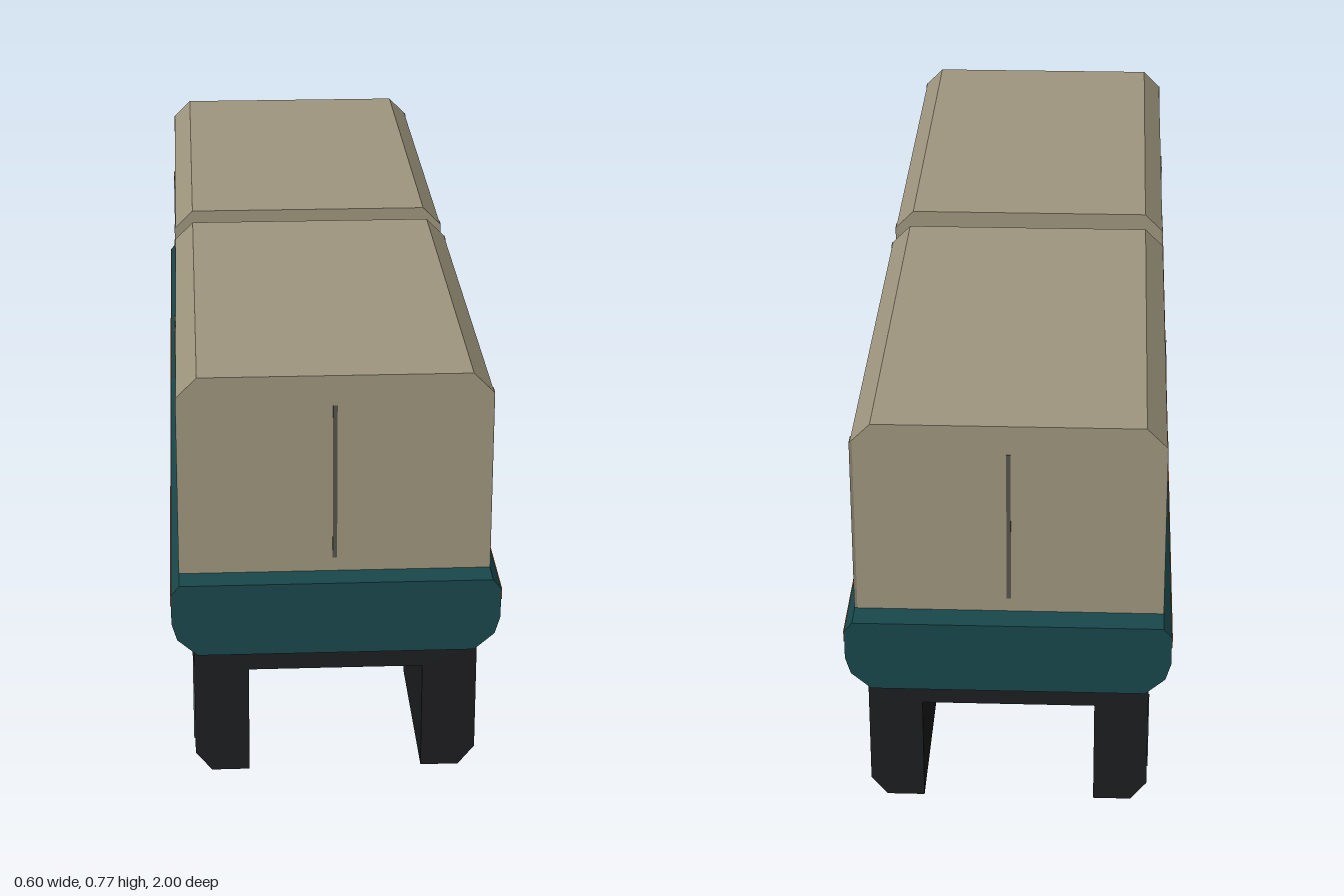
import * as THREE from 'three';

const mat = (color) => new THREE.MeshStandardMaterial({ color, flatShading: true });
const M = {
  shell: mat(0xa0977f), post: mat(0x857e6b), seam: mat(0x55544c), rod: mat(0x8d887a),
  teal: mat(0x19484c), window: mat(0x1c555b), orange: mat(0xb0501e),
  black: mat(0x1d1e20), dark: mat(0x121315), grey: mat(0x2b2d30), trim: mat(0x4a4d50), light: mat(0x6fb3b8),
};

// Box given by its min/max ranges
function box(parent, name, material, [x0, x1], [y0, y1], [z0, z1]) {
  const m = new THREE.Mesh(new THREE.BoxGeometry(x1 - x0, y1 - y0, z1 - z0), material);
  m.position.set((x0 + x1) / 2, (y0 + y1) / 2, (z0 + z1) / 2);
  m.name = name;
  parent.add(m);
  return m;
}

// Box repeated on both sides of the body
function sideBoxes(parent, name, material, [x0, x1], y, z) {
  box(parent, name + 'Left', material, [x0, x1], y, z);
  box(parent, name + 'Right', material, [-x1, -x0], y, z);
}

// Cross-section in x,y swept from z0 to z1
function sweep(parent, name, material, points, z0, z1) {
  const shape = new THREE.Shape(points.map(([x, y]) => new THREE.Vector2(x, y)));
  const m = new THREE.Mesh(new THREE.ExtrudeGeometry(shape, { depth: z1 - z0, bevelEnabled: false }), material);
  m.position.z = z0;
  m.name = name;
  parent.add(m);
}

// Mirror a right-hand half profile (bottom to top) into a closed outline
const mirrored = (half) => [...half, ...half.map(([x, y]) => [-x, y]).reverse()];

function makeContainer(name, zc) {
  const g = new THREE.Group();
  g.name = name;
  const h = 0.453;
  sweep(g, 'containerShell', M.shell,
    mirrored([[0.284, 0.388], [0.284, 0.733], [0.247, 0.77]]), zc - h, zc + h);
  for (const s of [-1, 1]) {
    // corner posts and end door seams
    const a = zc + s * h, b = zc + s * (h - 0.024);
    sideBoxes(g, 'cornerPost', M.post, [0.28, 0.2855], [0.388, 0.733], [Math.min(a, b), Math.max(a, b)]);
    box(g, 'endSeam', M.seam, [-0.004, 0.004], [0.415, 0.713], [a - 0.0015, a + 0.0015]);
    sideBoxes(g, 'doorRod', M.rod, [0.28, 0.287], [0.42, 0.713],
      [zc + s * 0.033 - 0.003, zc + s * 0.033 + 0.003]);
  }
  sideBoxes(g, 'sideSeam', M.seam, [0.28, 0.286], [0.415, 0.713], [zc - 0.003, zc + 0.003]);
  sideBoxes(g, 'sidePanel', M.window, [0.28, 0.2865], [0.515, 0.622], [zc + 0.107, zc + 0.307]);
  return g;
}

function makeLegs(name, zc) {
  const g = new THREE.Group();
  g.name = name;
  const h = 0.188;
  // arch of two legs joined by a crosspiece
  sweep(g, 'legArch', M.black, mirrored([
    [0.16, 0.208], [0.16, 0], [0.23, 0], [0.26, 0.037], [0.26, 0.25],
  ]), zc - h, zc + h);
  // side panel with a lit strip
  sideBoxes(g, 'panelFrame', M.dark, [0.25, 0.261], [0.068, 0.15], [zc - 0.125, zc + 0.125]);
  sideBoxes(g, 'lightStrip', M.light, [0.25, 0.2625], [0.094, 0.132], [zc - 0.097, zc + 0.097]);
  sideBoxes(g, 'panelLip', M.trim, [0.25, 0.2625], [0.138, 0.143], [zc - 0.115, zc + 0.115]);
  for (const s of [-1, 1]) {
    const t = zc + s * 0.135, b = zc + s * 0.105;
    sideBoxes(g, 'panelTrim', M.trim, [0.25, 0.2625], [0.04, 0.2], [t - 0.003, t + 0.003]);
    sideBoxes(g, 'topLug', M.grey, [0.25, 0.2625], [0.213, 0.243], [b - 0.032, b + 0.032]);
  }
  // bracket on the inward end
  const inward = zc - Math.sign(zc) * (h + 0.012);
  sideBoxes(g, 'legBracket', M.grey, [0.18, 0.245], [0.085, 0.15], [inward - 0.014, inward + 0.014]);
  return g;
}

// Ribbed equipment box hung under the deck edge
function makePack(name, zc) {
  const g = new THREE.Group();
  g.name = name;
  const h = 0.166;
  sideBoxes(g, 'packBody', M.black, [0.175, 0.24], [0.145, 0.213], [zc - h, zc + h]);
  sideBoxes(g, 'packHanger', M.dark, [0.19, 0.23], [0.21, 0.23], [zc - h * 0.8, zc + h * 0.8]);
  for (const y of [0.147, 0.203])
    sideBoxes(g, 'packRail', M.grey, [0.235, 0.248], [y, y + 0.008], [zc - h + 0.005, zc + h - 0.005]);
  for (let i = 0; i < 12; i++) {
    const z = zc + (i - 5.5) * 0.0272;
    sideBoxes(g, 'packRib', M.grey, [0.235, 0.247], [0.153, 0.205], [z - 0.008, z + 0.008]);
  }
  return g;
}

export function createModel() {
  const root = new THREE.Group();
  root.name = 'cargoCarrier';

  // deck with chamfered edges and a painted stripe along each side
  sweep(root, 'deck', M.teal, mirrored([
    [0.253, 0.248], [0.29, 0.28], [0.3, 0.313], [0.3, 0.37], [0.285, 0.388],
  ]), -1, 1);
  sideBoxes(root, 'sideStripe', M.orange, [0.29, 0.3015], [0.348, 0.37], [-0.999, 0.999]);

  // underside slab between the legs
  box(root, 'bellySlab', M.black, [-0.25, 0.25], [0.22, 0.25], [-0.61, 0.61]);

  root.add(makeContainer('frontContainer', 0.493), makeContainer('rearContainer', -0.493));
  root.add(makeLegs('frontLegs', 0.795), makeLegs('rearLegs', -0.795));
  [0.39, 0, -0.39].forEach((z, i) => root.add(makePack('underPack' + (i + 1), z)));
  return root;
}
